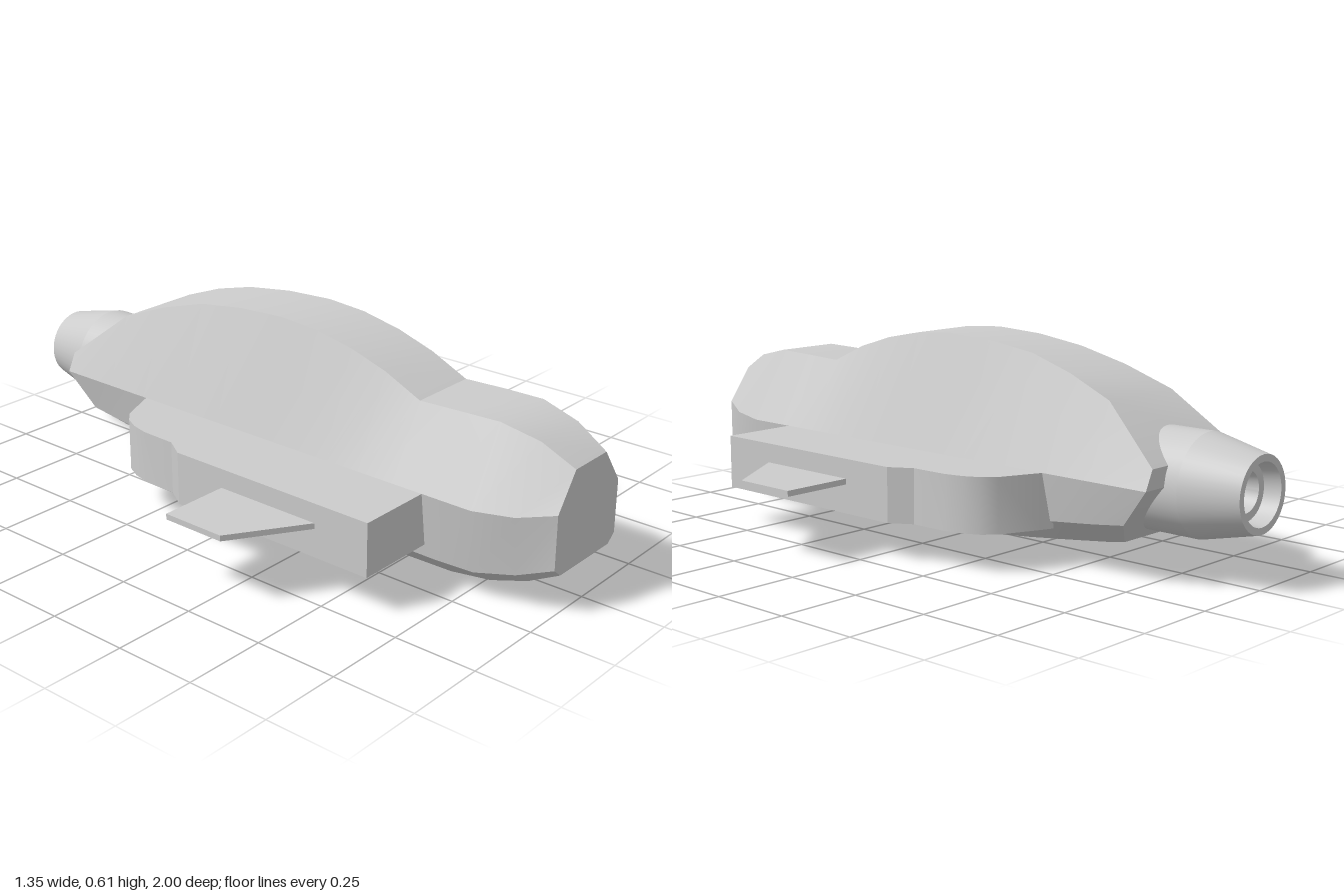
import * as THREE from 'three';
import { toCreasedNormals } from 'three/addons/utils/BufferGeometryUtils.js';

const material = new THREE.MeshStandardMaterial({ color: 0xcccccc });

function addMesh(parent, geometry, name) {
  const mesh = new THREE.Mesh(geometry, material);
  mesh.name = name;
  parent.add(mesh);
  return mesh;
}

// Hull stations, front to back:
// [z, bottom half width, bottom y, chine half width, chine y, waist half width, waist y, top half width, top y]
const stations = [
  [1.0, 0.12, 0.115, 0.15, 0.14, 0.15, 0.3, 0.075, 0.405],
  [0.9, 0.117, 0.062, 0.18, 0.105, 0.198, 0.28, 0.09, 0.46],
  [0.78, 0.115, 0.022, 0.2, 0.08, 0.225, 0.272, 0.105, 0.488],
  [0.65, 0.115, 0.004, 0.2, 0.075, 0.225, 0.272, 0.108, 0.485],
  [0.52, 0.115, 0.002, 0.2, 0.075, 0.225, 0.272, 0.108, 0.48],
  [0.4, 0.115, 0.002, 0.2, 0.075, 0.225, 0.272, 0.108, 0.535],
  [0.28, 0.115, 0.003, 0.2, 0.076, 0.225, 0.272, 0.108, 0.573],
  [0.15, 0.115, 0.01, 0.2, 0.082, 0.225, 0.272, 0.108, 0.599],
  [0.02, 0.115, 0.018, 0.2, 0.09, 0.225, 0.272, 0.108, 0.608],
  [-0.14, 0.115, 0.032, 0.2, 0.102, 0.225, 0.272, 0.108, 0.6],
  [-0.3, 0.115, 0.048, 0.2, 0.118, 0.225, 0.272, 0.108, 0.578],
  [-0.45, 0.115, 0.066, 0.2, 0.134, 0.225, 0.272, 0.123, 0.537],
  [-0.6, 0.115, 0.085, 0.2, 0.15, 0.225, 0.272, 0.14, 0.48],
  [-0.79, 0.115, 0.092, 0.2, 0.163, 0.225, 0.272, 0.198, 0.328],
];

function createHullGeometry() {
  const rings = stations.map((s, i) => {
    const half = [0, 1, 2, 3].map((k) => {
      // the tail face slants forward below the waist
      const z = i === stations.length - 1 ? [-0.64, -0.7, -0.79, -0.79][k] : s[0];
      return [s[1 + 2 * k], s[2 + 2 * k], z];
    });
    return [...half, ...half.map(([x, y, z]) => [-x, y, z]).reverse()];
  });
  const positions = [];
  const quad = (a, b, c, d) => positions.push(...a, ...b, ...c, ...a, ...c, ...d);
  for (let i = 0; i < rings.length - 1; i++) {
    for (let j = 0; j < 8; j++) {
      const k = (j + 1) % 8;
      quad(rings[i][j], rings[i + 1][j], rings[i + 1][k], rings[i][k]);
    }
  }
  // nose and tail caps, in strips between mirrored points
  const nose = rings[0];
  const tail = rings[rings.length - 1];
  for (let j = 0; j < 3; j++) {
    quad(nose[j], nose[j + 1], nose[6 - j], nose[7 - j]);
    quad(tail[7 - j], tail[6 - j], tail[j + 1], tail[j]);
  }
  const geometry = new THREE.BufferGeometry();
  geometry.setAttribute('position', new THREE.Float32BufferAttribute(positions, 3));
  return toCreasedNormals(geometry, THREE.MathUtils.degToRad(23));
}

// Slab with an [x, z] outline, spanning y0 to y1
function createSlab(outline, y0, y1, side) {
  const shape = new THREE.Shape(outline.map(([x, z]) => new THREE.Vector2(x * side, -z)));
  const geometry = new THREE.ExtrudeGeometry(shape, { depth: y1 - y0, bevelEnabled: false });
  geometry.rotateX(-Math.PI / 2);
  geometry.translate(0, y0, 0);
  return toCreasedNormals(geometry, THREE.MathUtils.degToRad(28));
}

const podOutline = [
  [0.19, 0.62], [0.458, 0.62], [0.458, -0.07], [0.418, -0.135], [0.415, -0.25],
  [0.402, -0.305], [0.38, -0.35], [0.345, -0.385], [0.225, -0.437], [0.19, -0.45],
];
const finOutline = [[0.44, 0.452], [0.675, 0.3], [0.675, 0.1], [0.44, 0.1]];

export function createModel() {
  const model = new THREE.Group();
  model.name = 'spacecraft';
  addMesh(model, createHullGeometry(), 'hull');

  // side pods with fins
  for (const [side, label] of [[1, 'left'], [-1, 'right']]) {
    addMesh(model, createSlab(podOutline, 0.112, 0.272, side), label + 'Pod');
    addMesh(model, createSlab(finOutline, 0.197, 0.214, side), label + 'Fin');
  }

  // tail engine: [radius, distance behind the centre], with a stepped hollow nozzle
  const profile = [
    [0, 0.58], [0.147, 0.58], [0.147, 0.83], [0.108, 1], [0.088, 1],
    [0.082, 0.95], [0.058, 0.95], [0.045, 0.86], [0, 0.86],
  ].map(([r, d]) => new THREE.Vector2(r, d));
  const engine = new THREE.LatheGeometry(profile, 40);
  engine.rotateX(-Math.PI / 2);
  engine.translate(0, 0.26, 0);
  addMesh(model, toCreasedNormals(engine, THREE.MathUtils.degToRad(11)), 'engine');

  return model;
}
